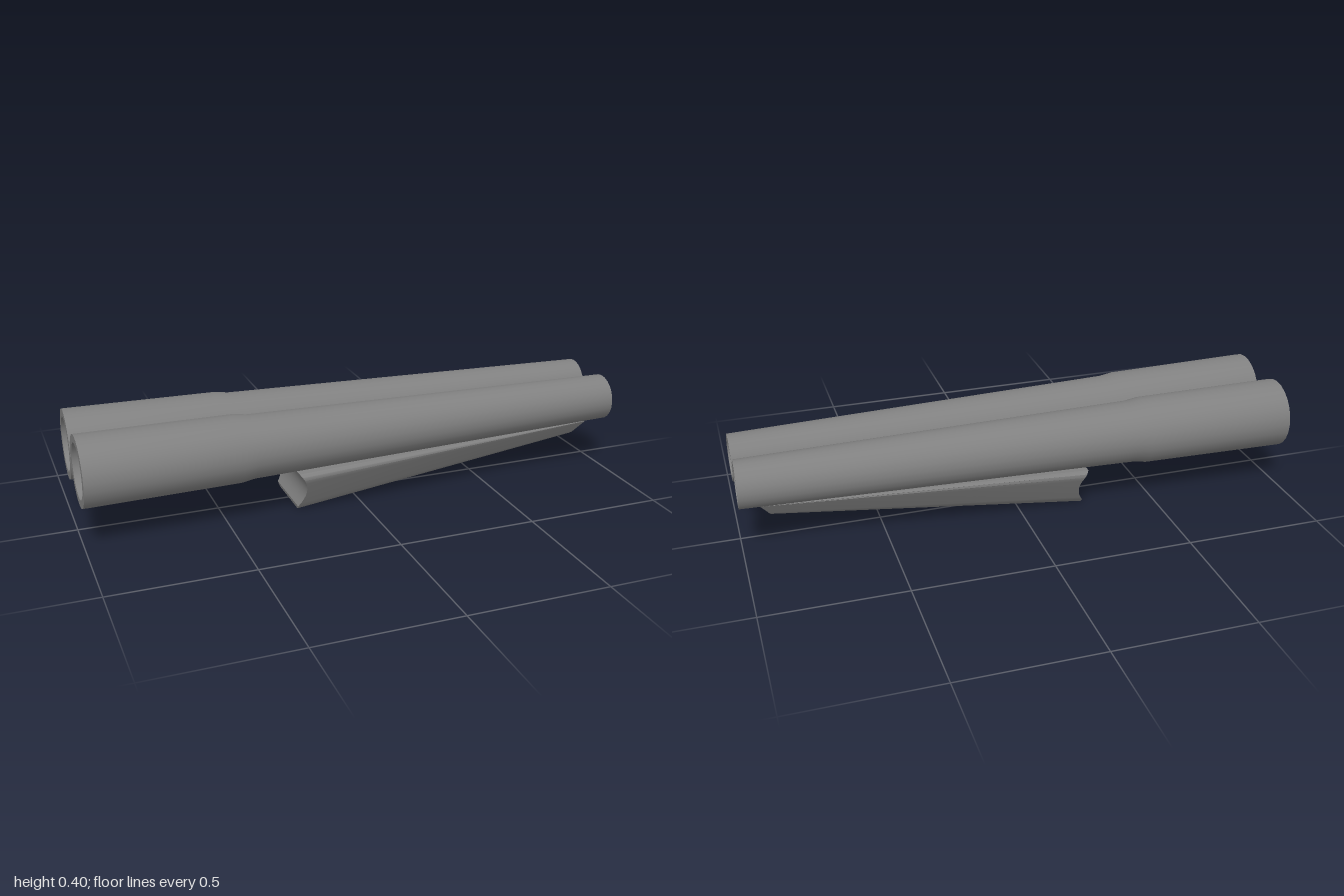
import * as THREE from 'three';
import { toCreasedNormals } from 'three/addons/utils/BufferGeometryUtils.js';

const material = new THREE.MeshStandardMaterial({ color: 0x808080 });

// Tapered tube with a wider chamber at the thick end, turned around its axis
function barrelGeometry() {
  const profile = [
    [0.125, -1], [0.12, -0.46], [0.1125, -0.41], [0.0845, 1],
    [0.07, 1], [0.07, -0.48], [0.097, -0.56], [0.097, -1], [0.125, -1],
  ].map(([r, y]) => new THREE.Vector2(r, y));
  const geo = new THREE.LatheGeometry(profile, 24);
  geo.rotateZ(-Math.PI / 2);
  return toCreasedNormals(geo, 0.5);
}

// Tapered rest lofted from a rear half-section to a front one, with a scooped rear end
function foreEndGeometry() {
  // half-sections as [z, y], from the underside up to the top edge
  const rear = [[0.1, 0], [0.112, 0.004], [0.12, 0.014]];
  const front = [[0.068, 0.122], [0.078, 0.125], [0.086, 0.131]];
  const steps = 8;
  for (let i = 1; i <= steps; i++) {
    const t = i / steps;
    rear.push([0.12 + 0.052 * t, 0.014 + 0.119 * t]);
    front.push([0.086 + 0.034 * t, 0.131 + 0.05 * t]);
  }
  rear.push([0.171, 0.145], [0.16, 0.156]);
  front.push([0.121, 0.183], [0.12, 0.185]);

  // the scoop is a shallow curve, blunted at its lower lip
  const rearX = (y) => -0.213 - 5.5 * (y - 0.082) ** 2 + Math.max(0, 0.015 - y);
  const frontX = (y) => 0.89 + 0.63 * (y - 0.122);
  const pos = [];
  const quad = (a, b, c, d) => pos.push(...a, ...b, ...c, ...a, ...c, ...d);
  const R = (i, s) => [rearX(rear[i][1]), rear[i][1], s * rear[i][0]];
  const F = (i, s) => [frontX(front[i][1]), front[i][1], s * front[i][0]];
  const n = rear.length - 1;
  for (let i = 0; i < n; i++) {
    quad(R(i, 1), F(i, 1), F(i + 1, 1), R(i + 1, 1));
    quad(F(i, -1), R(i, -1), R(i + 1, -1), F(i + 1, -1));
    quad(F(i, 1), F(i, -1), F(i + 1, -1), F(i + 1, 1));
    quad(R(i, -1), R(i, 1), R(i + 1, 1), R(i + 1, -1));
  }
  quad(R(0, -1), F(0, -1), F(0, 1), R(0, 1)); // underside
  quad(R(n, 1), F(n, 1), F(n, -1), R(n, -1)); // top
  const geo = new THREE.BufferGeometry();
  geo.setAttribute('position', new THREE.Float32BufferAttribute(pos, 3));
  return toCreasedNormals(geo, 0.55);
}

export function createModel() {
  const model = new THREE.Group();
  model.name = 'doubleBarrel';

  // Two barrels side by side, converging toward the thin end
  const barrel = barrelGeometry();
  for (const side of [1, -1]) {
    const mesh = new THREE.Mesh(barrel, material);
    mesh.name = side > 0 ? 'frontBarrel' : 'backBarrel';
    mesh.position.set(0, 0.271, side * 0.1153);
    mesh.rotation.y = side * 0.0128;
    model.add(mesh);
  }

  // Hand rest under the barrels
  const foreEnd = new THREE.Mesh(foreEndGeometry(), material);
  foreEnd.name = 'foreEnd';
  model.add(foreEnd);
  return model;
}
